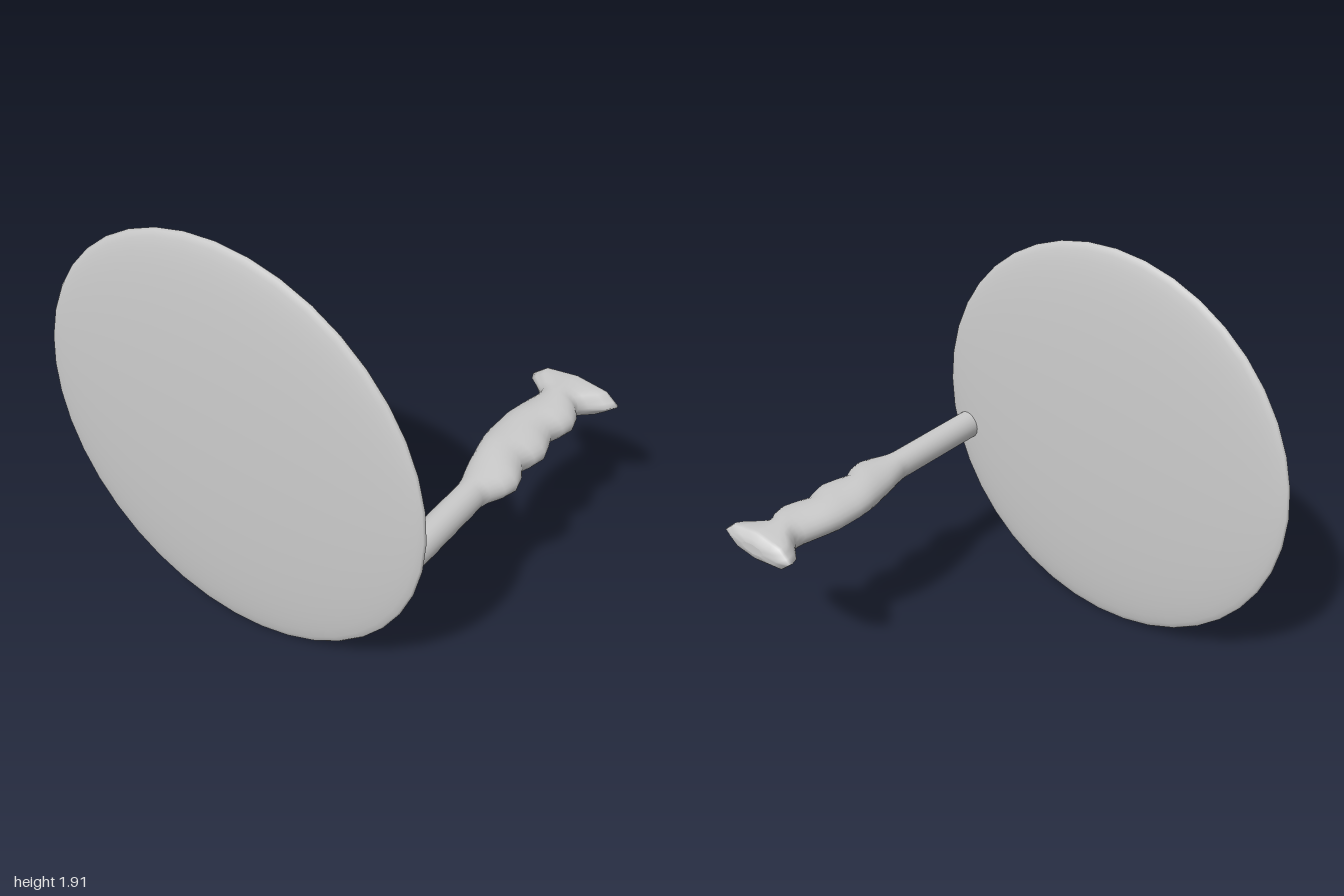
import * as THREE from 'three';

const SIDES = 24;
const AXIS_Y = 0.75;

// Ring around the x axis; oct blends the section from an ellipse to an octagon.
function ring(x, zLow, zHigh, halfY, oct) {
  const points = [];
  const mid = (zLow + zHigh) / 2, halfZ = (zHigh - zLow) / 2;
  for (let j = 0; j < SIDES; j++) {
    const a = (j / SIDES) * Math.PI * 2;
    const facet = Math.cos(Math.PI / 8) / Math.cos((a % (Math.PI / 4)) - Math.PI / 8);
    const r = 1 + (facet - 1) * oct;
    points.push(new THREE.Vector3(x, AXIS_Y + Math.cos(a) * halfY * r, mid + Math.sin(a) * halfZ * r));
  }
  return points;
}

// Skin over the rings, with a crisp cap at either end.
function loft(rings) {
  const pos = [], index = [];
  const add = (v) => pos.push(v.x, v.y, v.z) / 3 - 1;
  rings.forEach((r) => r.forEach(add));
  for (let i = 0; i < rings.length - 1; i++) {
    for (let j = 0; j < SIDES; j++) {
      const k = (j + 1) % SIDES;
      const a = i * SIDES + j, b = i * SIDES + k;
      index.push(a, b, a + SIDES, b, b + SIDES, a + SIDES);
    }
  }
  const cap = (r, flip) => {
    const centre = new THREE.Vector3();
    r.forEach((v) => centre.add(v));
    const c = add(centre.divideScalar(SIDES));
    const ids = r.map(add);
    ids.forEach((id, j) => {
      const next = ids[(j + 1) % SIDES];
      if (flip) index.push(c, next, id);
      else index.push(c, id, next);
    });
  };
  cap(rings[0], true);
  cap(rings[rings.length - 1], false);
  const geometry = new THREE.BufferGeometry();
  geometry.setAttribute('position', new THREE.Float32BufferAttribute(pos, 3));
  geometry.setIndex(index);
  geometry.computeVertexNormals();
  return geometry;
}

export function createModel() {
  const group = new THREE.Group();
  const material = new THREE.MeshStandardMaterial({ color: 0xcccccc });

  // Lens-shaped disc, its poles along x
  const discGeometry = new THREE.SphereGeometry(0.957, 40, 24);
  discGeometry.rotateZ(Math.PI / 2);
  discGeometry.scale(0.073, 1, 1);
  const disc = new THREE.Mesh(discGeometry, material);
  disc.name = 'disc';
  disc.position.set(-0.682, 0.957, -0.043);
  group.add(disc);

  // Shaft, finger grip and flared pommel: x, lowest z, highest z, half height
  const sections = [
    [-0.65, 0.72, 0.85, 0.067],
    [-0.4, 0.72, 0.85, 0.067],
    [-0.16, 0.72, 0.85, 0.067],
    [-0.12, 0.714, 0.86, 0.067],
    [-0.06, 0.695, 0.895, 0.069],
    [0, 0.677, 0.915, 0.073],
    [0.06, 0.664, 0.9, 0.076],
    [0.12, 0.65, 0.868, 0.077],
    [0.18, 0.638, 0.892, 0.077],
    [0.24, 0.633, 0.907, 0.077],
    [0.3, 0.635, 0.89, 0.077],
    [0.36, 0.637, 0.867, 0.077],
    [0.42, 0.647, 0.892, 0.077],
    [0.48, 0.66, 0.908, 0.077],
    [0.54, 0.677, 0.892, 0.077],
    [0.57, 0.682, 0.87, 0.077],
    [0.6, 0.677, 0.867, 0.077],
    [0.63, 0.645, 0.9, 0.077],
    [0.675, 0.59, 0.968, 0.077],
    [0.71, 0.576, 0.998, 0.077],
    [0.725, 0.578, 0.995, 0.072],
    [0.745, 0.635, 0.945, 0.05],
    [0.75, 0.72, 0.86, 0.025],
  ];
  const rings = sections.map(([x, lo, hi, h]) =>
    ring(x, lo, hi, h, THREE.MathUtils.smoothstep(x, 0.58, 0.68)));
  const handle = new THREE.Mesh(loft(rings), material);
  handle.name = 'handle';
  group.add(handle);

  return group;
}
